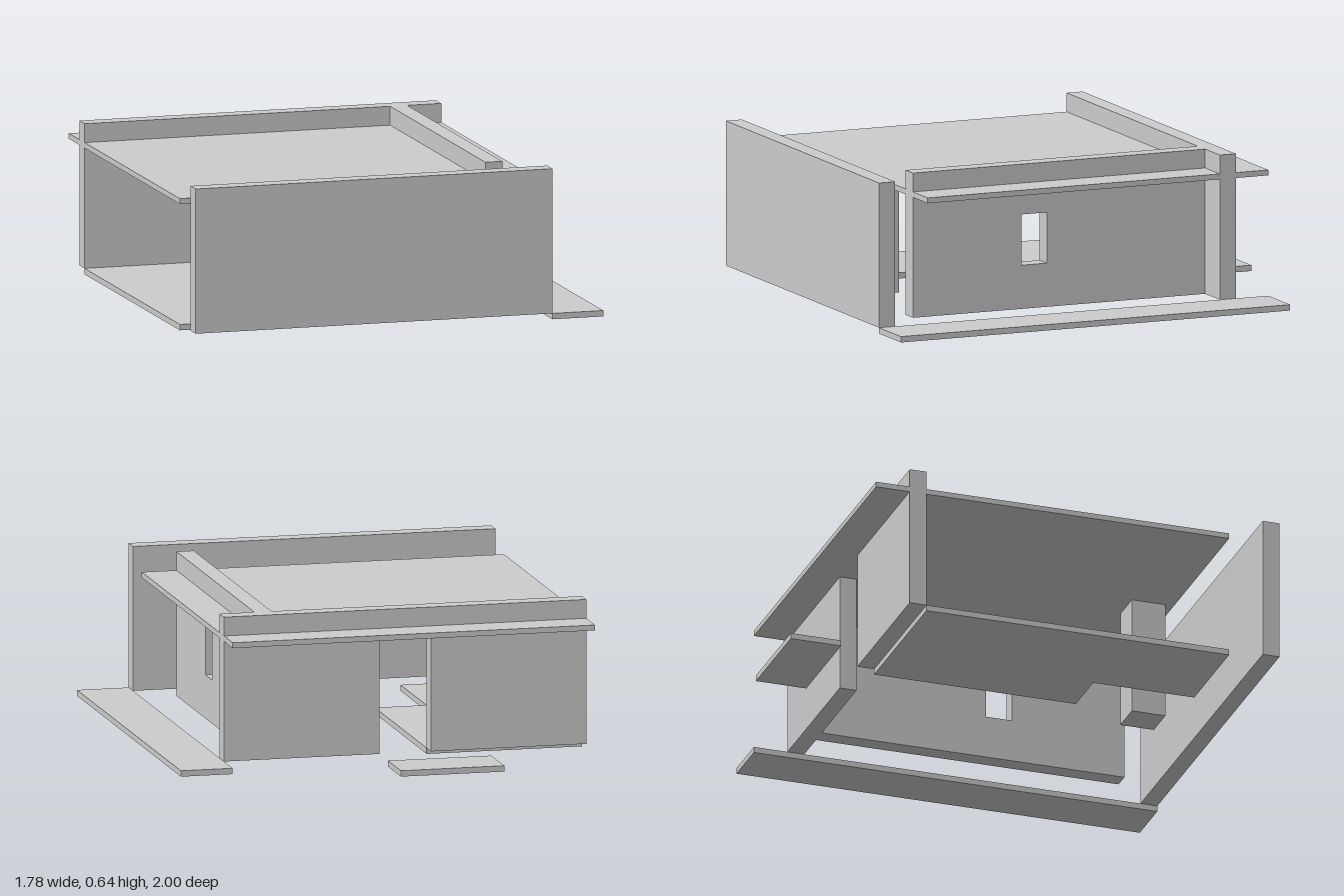
import * as THREE from 'three';

export function createModel() {
  const model = new THREE.Group();
  model.name = 'pavilion';
  const plaster = new THREE.MeshStandardMaterial({ color: 0xcccccc });
  plaster.name = 'light grey';

  const add = (name, geometry) => {
    const mesh = new THREE.Mesh(geometry, plaster);
    mesh.name = name;
    model.add(mesh);
    return mesh;
  };
  // Box given by its two extents on each axis
  const block = (name, [x0, x1], [y0, y1], [z0, z1]) =>
    add(name, new THREE.BoxGeometry(x1 - x0, y1 - y0, z1 - z0)
      .translate((x0 + x1) / 2, (y0 + y1) / 2, (z0 + z1) / 2));
  const outline = (Type, points) => new Type(points.map(([x, y]) => new THREE.Vector2(x, y)));
  const rect = (a0, a1, b0, b1) => [[a0, b0], [a1, b0], [a1, b1], [a0, b1]];

  const slab = 0.025, top = 0.638, left = -0.889, right = 0.667;
  const roofY = [0.535, 0.558];
  const backZ = [-0.63, -0.556];

  // Ground slabs: side path, rear step and notched floor
  block('sidePath', [right, 0.889], [0, slab], [-0.778, 1]);
  block('rearStep', [-0.444, 0], [0, slab], [-1, -0.778]);
  const floorShape = outline(THREE.Shape, [
    [left, -0.778], [-0.444, -0.778], [-0.444, -0.333],
    [-0.222, -0.333], [-0.222, 0.556], [left, 0.556],
  ]);
  add('floor', new THREE.ExtrudeGeometry(floorShape, { depth: slab, bevelEnabled: false })
    .rotateX(-Math.PI / 2));

  // Free-standing front wall
  block('frontWall', [left, right], [slab, top], [0.926, 1]);

  // Back wall with a doorway reaching up to the roof
  const backShape = outline(THREE.Shape, [
    [left, slab], [-0.222, slab], [-0.222, roofY[0]], [0, roofY[0]],
    [0, slab], [right, slab], [right, top], [left, top],
  ]);
  add('backWall', new THREE.ExtrudeGeometry(backShape, { depth: backZ[1] - backZ[0], bevelEnabled: false })
    .translate(0, 0, backZ[0]));

  // Side wall with a small window (shape x runs along -z)
  const sideShape = outline(THREE.Shape, rect(-0.778, 0.556, slab, top));
  sideShape.holes.push(outline(THREE.Path, rect(-0.283, -0.167, 0.21, 0.425)));
  add('sideWall', new THREE.ExtrudeGeometry(sideShape, { depth: 0.074, bevelEnabled: false })
    .rotateY(Math.PI / 2).translate(0.444, 0, 0));

  // Roof slab passing through the walls, and the column under it
  block('roof', [left, right], roofY, [-0.778, 0.778]);
  block('column', [-0.185, -0.037], [slab, roofY[0]], [0.593, 0.741]);

  return model;
}
